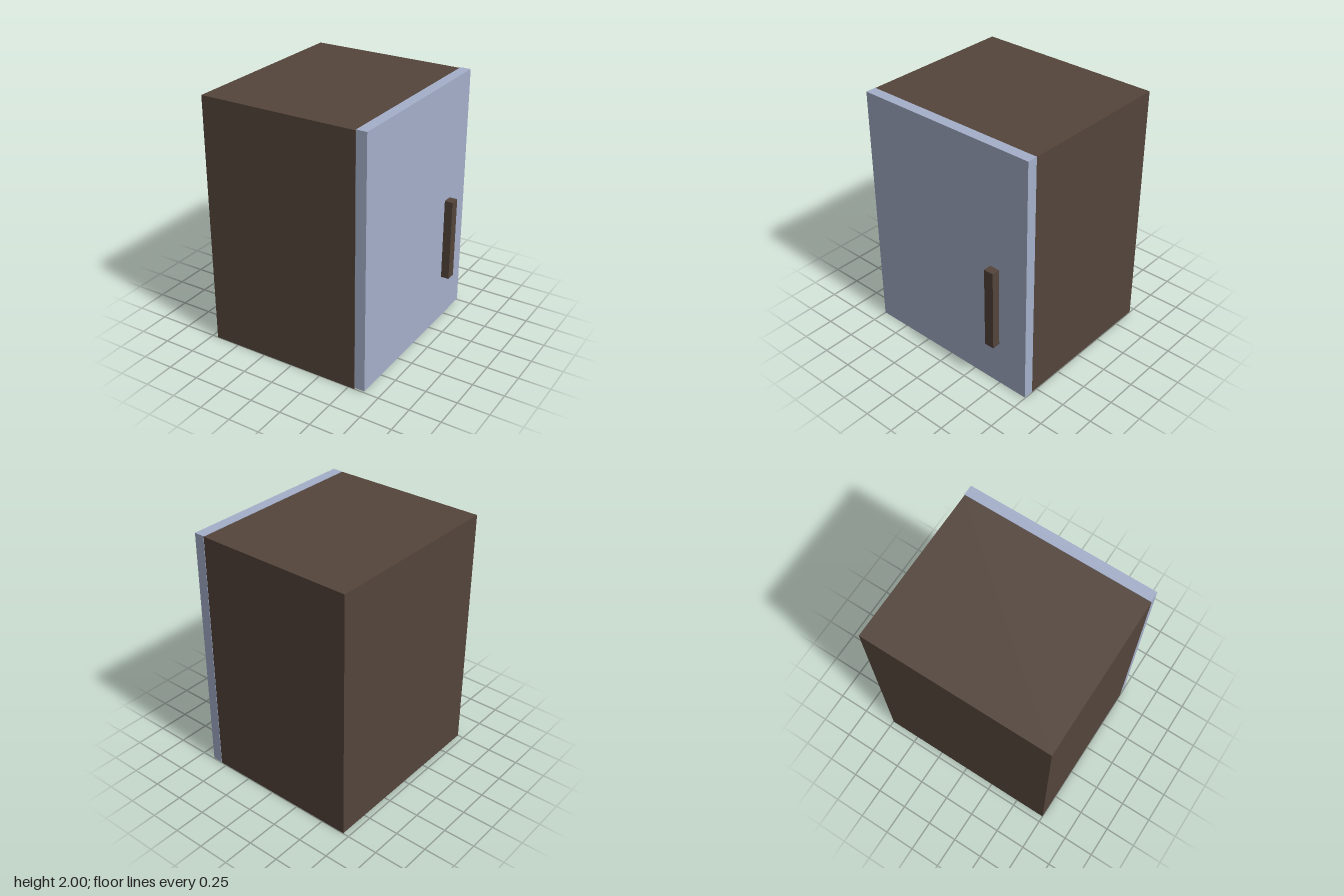
import * as THREE from 'three';

// Box spanning two opposite corners
function block(name, min, max, color) {
  const size = max.map((v, i) => v - min[i]);
  const mesh = new THREE.Mesh(
    new THREE.BoxGeometry(...size),
    new THREE.MeshStandardMaterial({ color })
  );
  mesh.position.set(...min.map((v, i) => (v + max[i]) / 2));
  mesh.name = name;
  return mesh;
}

export function createModel() {
  const brown = 0x54453b;
  const blue = 0xa5b0ca;
  const model = new THREE.Group();
  model.name = 'cabinet';

  // Main body
  model.add(block('body', [-0.7, 0, -0.747], [0.55, 1.995, 0.75], brown));

  // Door on the +x side, set a hair up and back from the body
  model.add(block('door', [0.55, 0.008, -0.75], [0.633, 2, 0.745], blue));

  // Upright handle near the back edge of the door
  model.add(block('handle', [0.633, 0.38, -0.502], [0.698, 1.045, -0.422], brown));

  return model;
}
